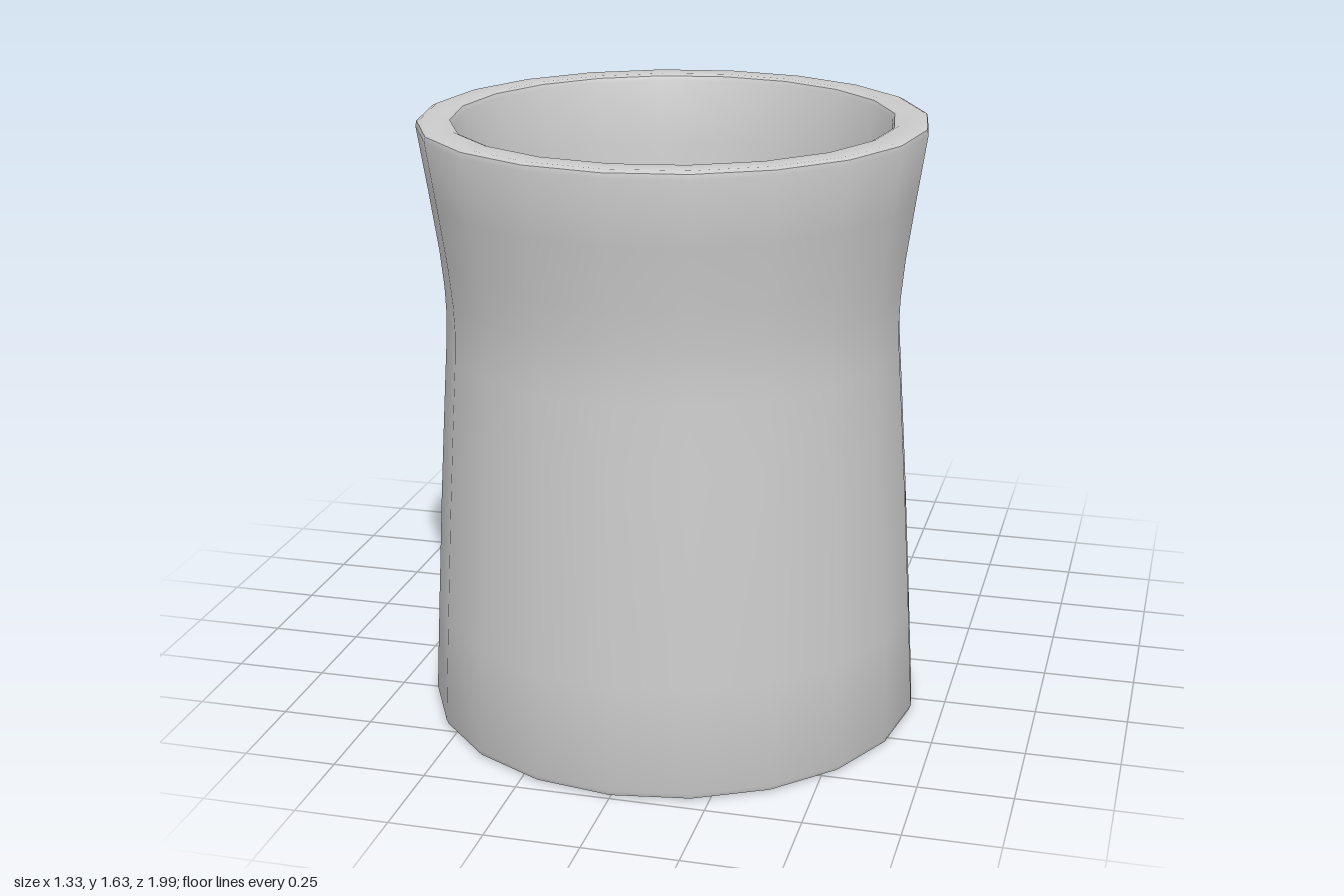
import * as THREE from 'three';
import { toCreasedNormals } from 'three/addons/utils/BufferGeometryUtils.js';

const material = new THREE.MeshStandardMaterial({ color: 0xcccccc });

// Lofts chamfered rectangles between inner point (r, y) and outer point (r, y); r runs along -z.
function loft(sections, chamfer) {
  const pos = [], index = [];
  const n = 8;
  for (const [ra, ya, rb, yb, hw] of sections) {
    const a = new THREE.Vector2(ra, ya), b = new THREE.Vector2(rb, yb);
    const length = a.distanceTo(b), t = chamfer / length;
    const ring = [
      [-hw + chamfer, 0], [hw - chamfer, 0], [hw, t], [hw, 1 - t],
      [hw - chamfer, 1], [-hw + chamfer, 1], [-hw, 1 - t], [-hw, t],
    ];
    for (const [x, k] of ring) {
      const p = a.clone().lerp(b, k);
      pos.push(x, p.y, -p.x);
    }
  }
  for (let s = 0; s < sections.length - 1; s++) {
    for (let i = 0; i < n; i++) {
      const a = s * n + i, b = s * n + (i + 1) % n;
      index.push(a, a + n, b + n, a, b + n, b);
    }
  }
  const last = (sections.length - 1) * n;
  for (let i = 1; i < n - 1; i++) {
    index.push(0, i, i + 1, last, last + i + 1, last + i);
  }
  const g = new THREE.BufferGeometry();
  g.setAttribute('position', new THREE.Float32BufferAttribute(pos, 3));
  g.setIndex(index);
  return toCreasedNormals(g, 0.5);
}

export function createModel() {
  const model = new THREE.Group();
  model.name = 'mug';

  // Twenty-sided waisted cup with a hollow inside and softened edges
  const profile = [
    [0, 0], [0.65, 0], [0.662, 0.006], [0.667, 0.02], [0.652, 0.3], [0.635, 0.6],
    [0.619, 0.85], [0.607, 1.03], [0.604, 1.1], [0.607, 1.18], [0.617, 1.28],
    [0.64, 1.44], [0.666, 1.61], [0.663, 1.624], [0.65, 1.63],
    [0.59, 1.63], [0.578, 1.625], [0.572, 1.612], [0.552, 1.44], [0.533, 1.28],
    [0.524, 1.12], [0.527, 1.0], [0.545, 0.6], [0.57, 0.08], [0, 0.08],
  ].map(([r, y]) => new THREE.Vector2(r, y));
  const cup = new THREE.Mesh(toCreasedNormals(new THREE.LatheGeometry(profile, 20), 0.6), material);
  cup.name = 'cup';
  cup.position.z = 0.33;
  model.add(cup);

  // Handle: inner r, inner y, outer r, outer y, half width; arm, elbow, then open grip
  const handle = new THREE.Mesh(loft([
    [0.57, 1.13, 0.57, 1.295, 0.094],
    [0.62, 1.12, 0.62, 1.293, 0.095],
    [0.75, 1.095, 0.76, 1.295, 0.106],
    [0.87, 1.078, 0.89, 1.302, 0.119],
    [0.98, 1.068, 1.02, 1.315, 0.131],
    [1.045, 1.052, 1.17, 1.332, 0.143],
    [1.073, 1.03, 1.318, 1.338, 0.15],
    [1.077, 0.96, 1.32, 1.2, 0.148],
    [1.08, 0.82, 1.316, 0.97, 0.139],
    [1.08, 0.65, 1.298, 0.73, 0.121],
    [1.07, 0.45, 1.264, 0.47, 0.1],
    [1.045, 0.22, 1.21, 0.17, 0.075],
  ], 0.01), material);
  handle.name = 'handle';
  handle.position.z = 0.33;
  handle.rotation.y = -Math.PI / 20;
  model.add(handle);

  return model;
}
